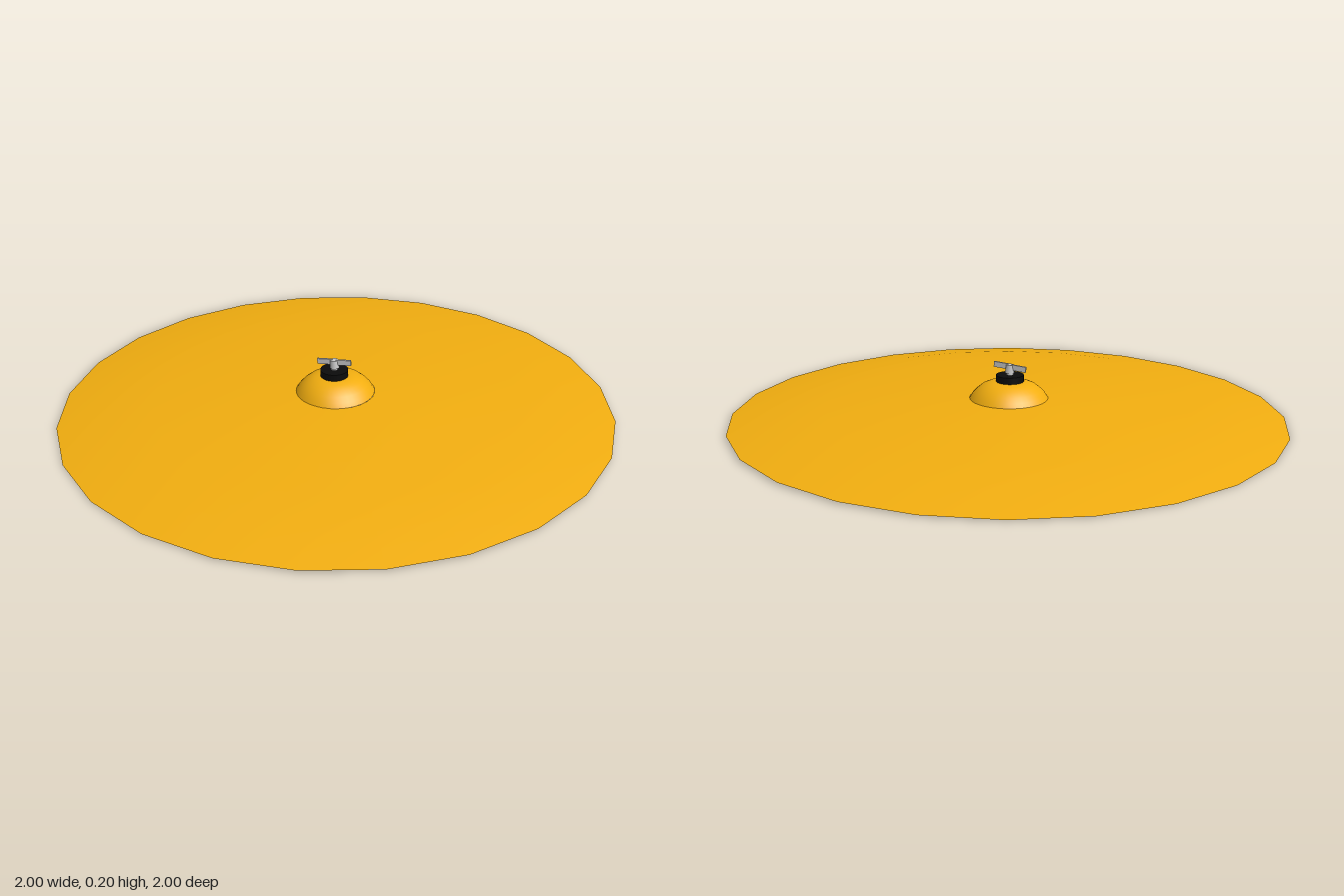
import * as THREE from 'three';

const material = (color) => new THREE.MeshStandardMaterial({ color, side: THREE.DoubleSide });
const brass = material(0xf2ae10);
const black = material(0x0c0c0c);
const steel = material(0xcccccc);

function part(parent, name, geometry, mat, x = 0, y = 0, z = 0) {
  const mesh = new THREE.Mesh(geometry, mat);
  mesh.name = name;
  mesh.position.set(x, y, z);
  parent.add(mesh);
  return mesh;
}

const lathe = (points, sides) =>
  new THREE.LatheGeometry(points.map(([r, y]) => new THREE.Vector2(r, y)), sides);

// cylinder given by its radius and its bottom and top heights
function disc(parent, name, radius, bottom, top, mat) {
  return part(parent, name, new THREE.CylinderGeometry(radius, radius, top - bottom, 24), mat, 0, (bottom + top) / 2);
}

export function createModel() {
  const group = new THREE.Group();
  group.name = 'cymbal';

  // thin, shallow bow with a slight sideways tilt
  const plate = new THREE.Group();
  plate.name = 'plate';
  plate.rotation.z = 0.005;
  group.add(plate);
  const bow = [[1, 0.009], [0.84, 0.035], [0.66, 0.051], [0.48, 0.063], [0.3, 0.073], [0.14, 0.078]];
  part(plate, 'bow', lathe(bow, 24), brass);

  // raised bell in the middle
  const bell = [[0.142, 0.077], [0.132, 0.093], [0.117, 0.109], [0.098, 0.124],
    [0.075, 0.134], [0.05, 0.139], [0.012, 0.14]];
  part(plate, 'bell', lathe(bell, 40), brass, -0.003, 0, -0.003);

  // stand fittings through the bell
  const fittings = new THREE.Group();
  fittings.name = 'fittings';
  fittings.position.set(-0.007, 0, -0.001);
  group.add(fittings);
  disc(fittings, 'lowerFelt', 0.05, 0.115, 0.138, black);
  disc(fittings, 'upperFelt', 0.05, 0.139, 0.163, black);
  disc(fittings, 'rod', 0.012, 0.045, 0.19, steel);

  // wing nut: hub with two offset wings
  const wingNut = new THREE.Group();
  wingNut.name = 'wingNut';
  wingNut.position.y = 0.19;
  wingNut.rotation.z = 0.07;
  fittings.add(wingNut);
  part(wingNut, 'hub', new THREE.CylinderGeometry(0.014, 0.017, 0.03, 16), steel, 0, -0.005);
  for (const side of [-1, 1]) {
    const wing = part(wingNut, 'wing', new THREE.BoxGeometry(0.056, 0.02, 0.008), steel, side * 0.034, 0.002, side * 0.007);
    wing.rotation.y = -0.15;
  }
  return group;
}
